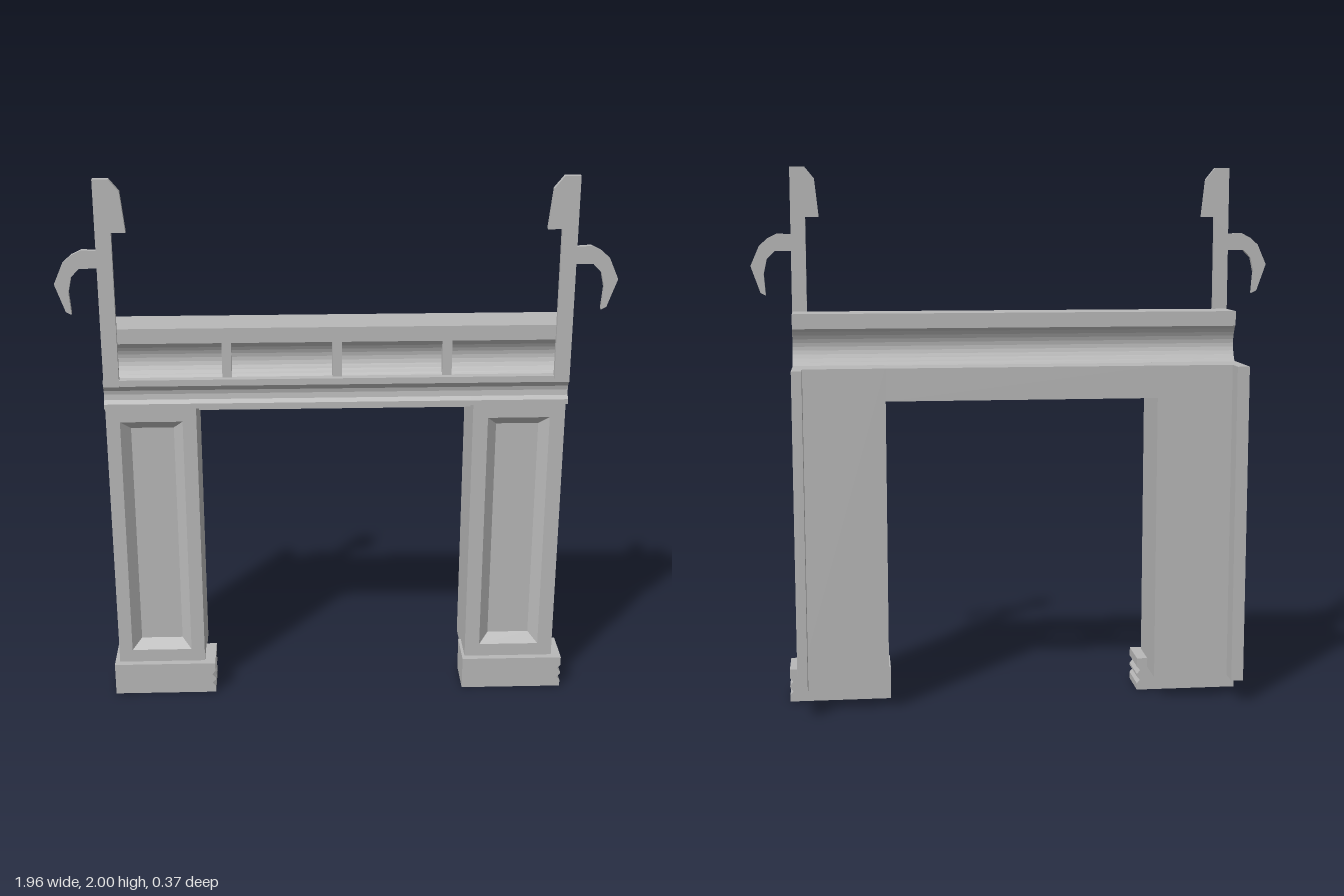
import * as THREE from 'three';

export function createModel() {
  const group = new THREE.Group();
  const stone = new THREE.MeshStandardMaterial({ color: 0xb8b8b8 });
  stone.name = 'grey stone';

  const add = (name, geometry) => {
    const mesh = new THREE.Mesh(geometry, stone);
    mesh.name = name;
    group.add(mesh);
    return mesh;
  };
  // Box given by its limits on each axis
  const box = (name, x0, x1, y0, y1, z0, z1) => {
    const g = new THREE.BoxGeometry(x1 - x0, y1 - y0, z1 - z0);
    g.translate((x0 + x1) / 2, (y0 + y1) / 2, (z0 + z1) / 2);
    return add(name, g);
  };
  const shapeOf = (pts) => new THREE.Shape(pts.map(([x, y]) => new THREE.Vector2(x, y)));
  // Outline in x and y, extruded from z0 to z1
  const plate = (name, shape, z0, z1) => {
    const g = new THREE.ExtrudeGeometry(shape, { depth: z1 - z0, bevelEnabled: false });
    g.translate(0, 0, z0);
    return add(name, g);
  };
  // Moulding profile in z and y, extruded along x
  const moulding = (name, pts, x0, x1) => {
    const g = new THREE.ExtrudeGeometry(shapeOf(pts.map(([z, y]) => [-z, y])),
      { depth: x1 - x0, bevelEnabled: false });
    g.rotateY(Math.PI / 2);
    g.translate(x0, 0, 0);
    return add(name, g);
  };
  const rect = (x0, x1, y0, y1) => [[x0, y0], [x1, y0], [x1, y1], [x0, y1]];

  const front = 0.155, recess = 0.12, back = -0.11;

  // Pillar with a sunken bevelled panel
  const pillar = (side, x0, x1, p0, p1) => {
    box(side + 'PillarCore', x0, x1, 0.09, 1.275, back, recess);
    const face = shapeOf(rect(x0, x1, 0.09, 1.275));
    face.holes.push(new THREE.Path(rect(p0, p1, 0.175, 1.11).map(([x, y]) => new THREE.Vector2(x, y))));
    plate(side + 'PillarFace', face, recess, front);

    const outer = rect(p0, p1, 0.175, 1.11);
    const inner = rect(p0 + 0.035, p1 - 0.035, 0.21, 1.075);
    const verts = [];
    for (let i = 0; i < 4; i++) {
      const j = (i + 1) % 4;
      const a = [...outer[i], front], b = [...outer[j], front];
      const c = [...inner[j], recess + 0.001], d = [...inner[i], recess + 0.001];
      verts.push(...a, ...b, ...c, ...a, ...c, ...d);
    }
    const bevel = new THREE.BufferGeometry();
    bevel.setAttribute('position', new THREE.Float32BufferAttribute(verts, 3));
    bevel.computeVertexNormals();
    add(side + 'PanelBevel', bevel);
  };
  pillar('right', -0.835, -0.51, -0.785, -0.56);
  pillar('left', 0.49, 0.825, 0.545, 0.77);

  // Outer returns running behind the pillars
  box('rightReturn', -0.835, -0.79, 0.09, 1.275, -0.185, back);
  box('leftReturn', 0.788, 0.825, 0.09, 1.275, -0.185, back);

  // Plinths, moulded on one end
  for (const [side, x0, x1] of [['right', -0.853, -0.47], ['left', 0.48, 0.86]]) {
    const n = x1 - 0.012;
    plate(side + 'Plinth', shapeOf([[x0, 0], [x1, 0], [x1, 0.025], [n, 0.04], [x1, 0.053],
      [x1, 0.062], [n, 0.078], [x1, 0.092], [x1, 0.125], [x0, 0.125]]), 0.025, 0.18);
  }

  // Lintel across the back of the opening
  box('backLintel', -0.51, 0.49, 1.155, 1.275, back, 0.003);

  // Stepped cornice across the front
  moulding('cornice', [[0.14, 1.155], [0.157, 1.155], [0.157, 1.17], [0.18, 1.17], [0.18, 1.188],
    [0.166, 1.2], [0.163, 1.22], [0.166, 1.235], [0.18, 1.255], [0.18, 1.278], [0.14, 1.278]],
  -0.5, 0.48);
  for (const [x0, x1] of [[-0.835, -0.5], [0.48, 0.828]]) {
    moulding('corniceEnd', [[0.15, 1.17], [0.18, 1.17], [0.18, 1.188], [0.166, 1.2], [0.163, 1.22],
      [0.166, 1.235], [0.18, 1.255], [0.18, 1.278], [0.15, 1.278]], x0, x1);
  }

  // Frieze, hollowed on front and back
  const cove = [];
  const steps = 10;
  for (let i = 0; i <= steps; i++) {
    const t = i / steps;
    cove.push([0.155 - 0.034 * Math.sin(Math.PI * t), 1.273 + 0.14 * t]);
  }
  for (let i = steps; i >= 0; i--) {
    const t = i / steps;
    cove.push([0.02 + 0.03 * Math.sin(Math.PI * t), 1.273 + 0.14 * t]);
  }
  moulding('frieze', cove, -0.83, 0.825);
  for (const x of [-0.395, -0.003, 0.39]) {
    box('friezeDivider', x - 0.017, x + 0.017, 1.275, 1.412, 0.11, 0.16);
  }

  // Mantel shelf
  box('shelf', -0.83, 0.825, 1.41, 1.465, 0.015, 0.167);

  // Upright brackets with curled hooks
  const hook = [[0.775, 1.255], [0.83, 1.255], [0.83, 1.69], [0.89, 1.69], [0.92, 1.66], [0.932, 1.605],
    [0.926, 1.525], [0.945, 1.535], [0.98, 1.635], [0.947, 1.71], [0.915, 1.738], [0.88, 1.755], [0.83, 1.752],
    [0.83, 2], [0.775, 2], [0.74, 1.957], [0.725, 1.815], [0.775, 1.815]];
  plate('leftBracket', shapeOf(hook.map(([x, y]) => [x - 0.002, y])), 0.165, 0.184);
  plate('rightBracket', shapeOf(hook.map(([x, y]) => [-x - 0.002, y]).reverse()), 0.165, 0.184);

  return group;
}
